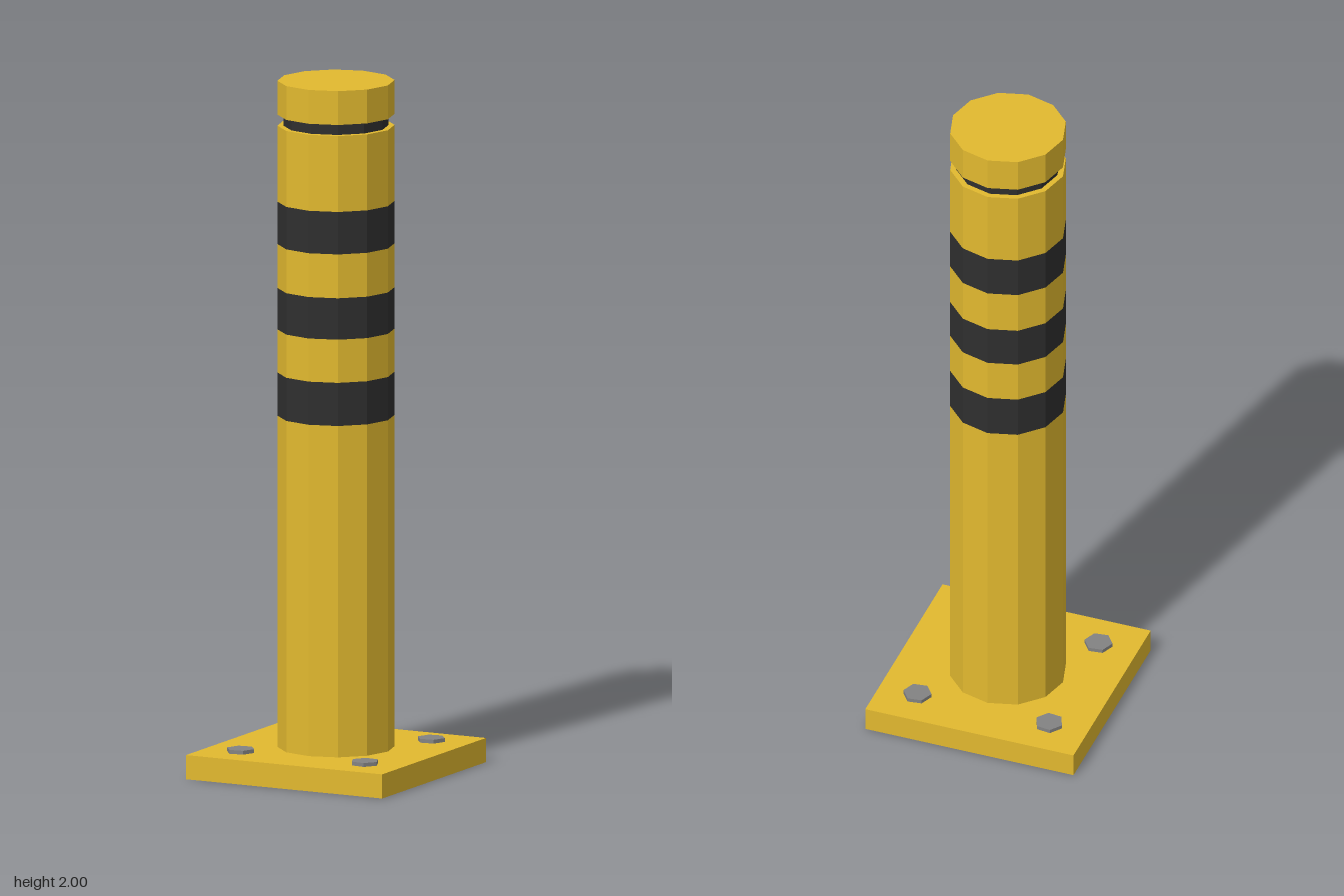
import * as THREE from 'three';

const paint = (name, color) => Object.assign(new THREE.MeshStandardMaterial({ color, flatShading: true }), { name });

export function createModel() {
  const yellow = paint('safety yellow', 0xe2b92f);
  const black = paint('band black', 0x2f2f2f);
  const steel = paint('bolt steel', 0x838383);

  const model = new THREE.Group();
  model.name = 'bollard';
  const RADIUS = 0.167, PLATE = 0.07;

  const add = (name, geometry, material, y) => {
    const mesh = new THREE.Mesh(geometry, material);
    mesh.name = name;
    mesh.position.y = y;
    model.add(mesh);
    return mesh;
  };
  // Upright prism from y0 to y1
  const prism = (name, radius, y0, y1, material, sides = 12, open = false) =>
    add(name, new THREE.CylinderGeometry(radius, radius, y1 - y0, sides, 1, open), material, (y0 + y1) / 2);

  // Square base plate
  add('basePlate', new THREE.BoxGeometry(0.632, PLATE, 0.632), yellow, PLATE / 2);

  // Post in alternating yellow and black sections, flush with each other
  const levels = [PLATE, 1.03, 1.155, 1.28, 1.4, 1.527, 1.65, 1.87];
  for (let i = 0; i < levels.length - 1; i++) {
    const band = i % 2 === 1;
    const last = i === levels.length - 2;
    prism(band ? 'postBand' : 'postSection', RADIUS, levels[i], levels[i + 1], band ? black : yellow, 12, !last);
  }

  // Recessed neck and cap
  prism('neck', 0.15, 1.86, 1.91, black);
  prism('cap', RADIUS, 1.902, 2, yellow);

  // Hexagonal anchor bolts, turned in mirrored pairs
  for (const x of [-0.2, 0.2]) {
    for (const z of [-0.202, 0.202]) {
      const bolt = prism('anchorBolt', 0.041, PLATE - 0.01, 0.081, steel, 6);
      bolt.position.x = x;
      bolt.position.z = z;
      bolt.rotation.y = 0.4 * Math.sign(x * z);
    }
  }
  return model;
}
